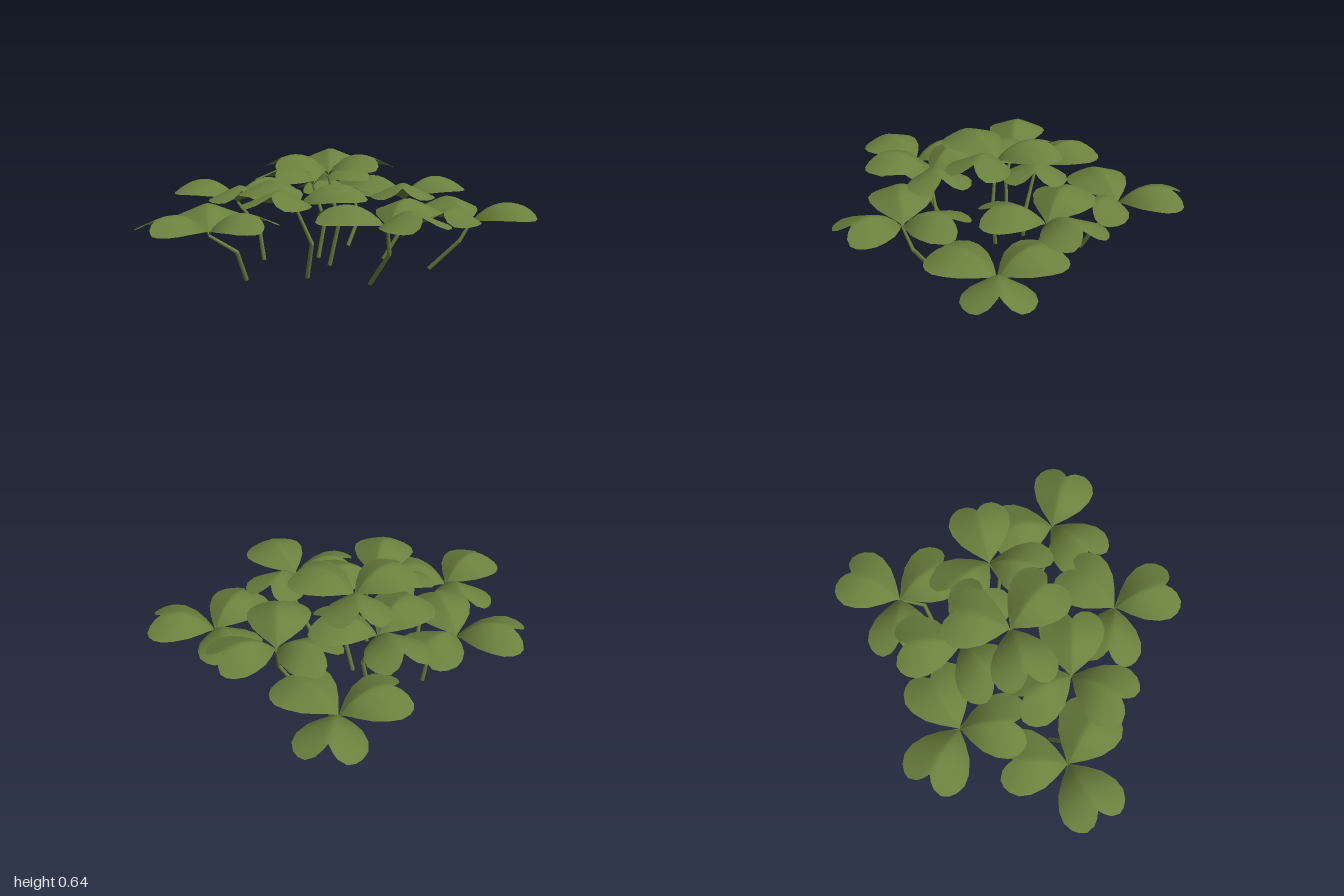
import * as THREE from 'three';

// [x, z, height of the leaf joint, heading of the first leaflet in degrees]
const CLOVERS = [
  [-0.26, -0.65, 0.28, 103],
  [0.20, -0.375, 0.34, 52],
  [0.635, -0.26, 0.255, 21],
  [-0.085, 0, 0.51, 116],
  [-0.63, 0.09, 0.33, 190],
  [0.42, 0.33, 0.315, 87],
  [-0.06, 0.385, 0.385, 37],
  [-0.42, 0.64, 0.265, 127],
  [-0.28, -0.17, 0.42, 135],
];

// Half of the heart outline: [along, sideways], from notch to base
const HEART = [
  [0.285, 0], [0.315, 0.022], [0.338, 0.05], [0.347, 0.095], [0.33, 0.13],
  [0.30, 0.157], [0.25, 0.175], [0.19, 0.166], [0.12, 0.13], [0.06, 0.073],
];

// Height of the arched leaflet, folded down on both sides of its midrib
function leafHeight(l, w) {
  const arch = 0.127 * Math.sin((Math.PI / 2) * Math.pow(l / 0.2, 0.8));
  const fold = 0.4 * (1 + 0.6 * (1 - l / 0.25));
  return arch - fold * (Math.hypot(w, 0.015) - 0.015) * Math.min(1, l / 0.02);
}

// Heart-shaped leaflet: a fan of rays from the joint to the outline
function leafletGeometry() {
  const left = HEART.slice(1).reverse().map(([l, w]) => [l, -w]);
  const outline = [...left, ...HEART];
  const steps = 7, row = steps + 1;
  const pos = [], idx = [];
  outline.forEach(([l, w], j) => {
    for (let s = 0; s <= steps; s++) {
      const t = s / steps;
      pos.push(l * t, leafHeight(l * t, w * t), w * t);
      if (j < outline.length - 1 && s < steps) {
        const a = j * row + s, b = a + row;
        idx.push(a, b + 1, a + 1);
        if (s > 0) idx.push(a, b, b + 1);
      }
    }
  });
  const geo = new THREE.BufferGeometry();
  geo.setAttribute('position', new THREE.Float32BufferAttribute(pos, 3));
  geo.setIndex(idx);
  geo.computeVertexNormals();
  return geo;
}

// Straight piece of stem between two points
function stemPiece(a, b, rTop, rBottom, material) {
  const dir = b.clone().sub(a);
  const mesh = new THREE.Mesh(
    new THREE.CylinderGeometry(rTop, rBottom, dir.length(), 6), material);
  mesh.position.copy(a).add(b).multiplyScalar(0.5);
  mesh.quaternion.setFromUnitVectors(new THREE.Vector3(0, 1, 0), dir.normalize());
  mesh.name = 'stem';
  return mesh;
}

export function createModel() {
  const model = new THREE.Group();
  model.name = 'cloverPatch';
  const green = new THREE.MeshStandardMaterial({ color: 0x6b813e, side: THREE.DoubleSide });
  green.name = 'cloverGreen';
  const leaflet = leafletGeometry();

  CLOVERS.forEach(([x, z, h, heading]) => {
    const clover = new THREE.Group();
    clover.name = 'clover';

    // Bent stem leaning outward from the middle of the patch
    const foot = new THREE.Vector3(0.72 * x - 0.02, 0.005, 0.72 * z);
    const top = new THREE.Vector3(x, h, z);
    const knee = foot.clone().lerp(top, 0.5);
    knee.x += 0.058;
    knee.y = 0.1 + 0.27 * h;
    clover.add(stemPiece(foot, knee, 0.011, 0.012, green));
    clover.add(stemPiece(knee, top, 0.008, 0.011, green));

    // Three leaflets around the joint
    for (let i = 0; i < 3; i++) {
      const leaf = new THREE.Mesh(leaflet, green);
      leaf.name = 'leaflet';
      leaf.position.copy(top);
      leaf.rotation.y = THREE.MathUtils.degToRad(heading + i * 120);
      clover.add(leaf);
    }
    model.add(clover);
  });
  return model;
}
